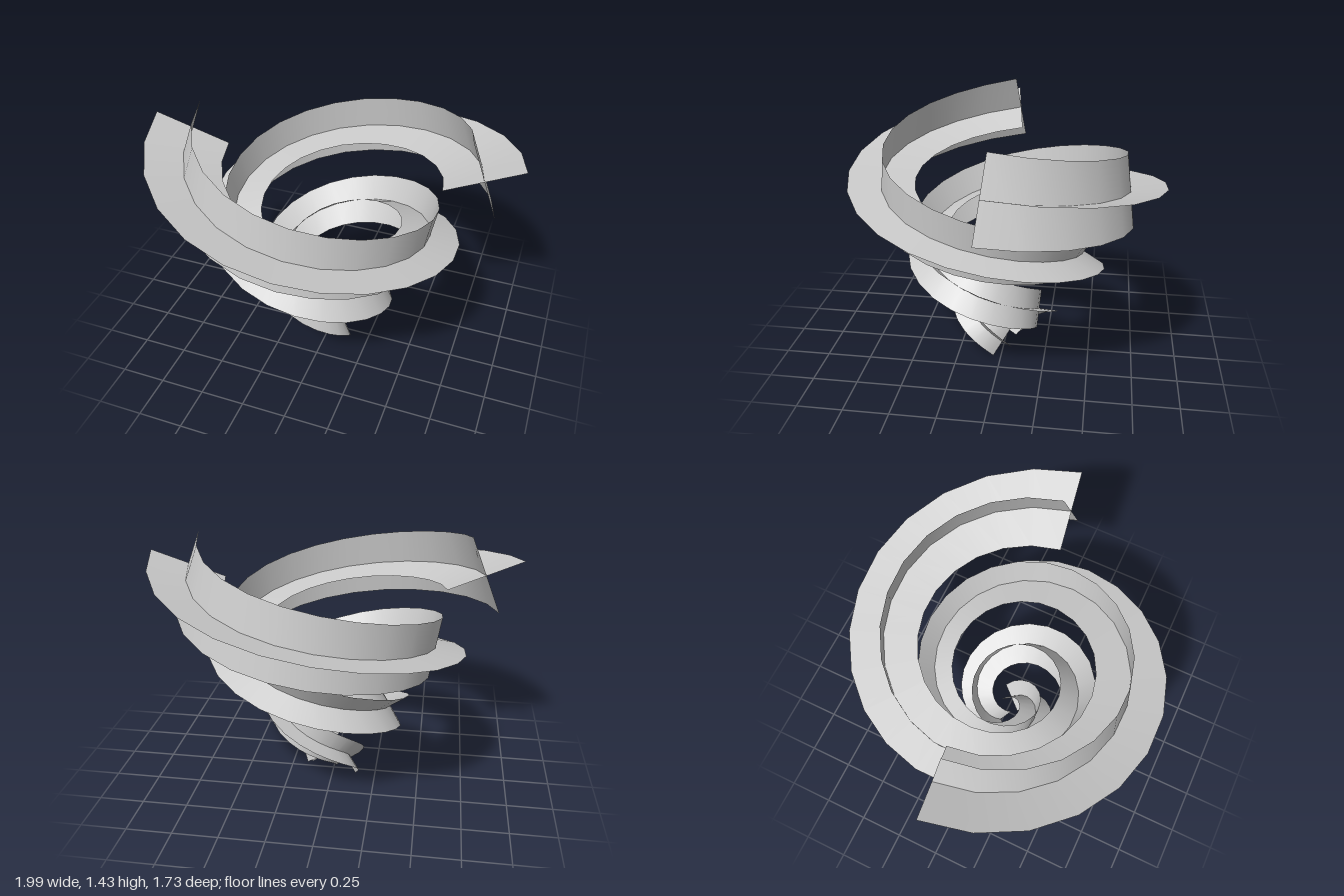
import * as THREE from 'three';

const TURNS = 1.5, SEGMENTS = 36;

// Centre line: an evenly narrowing conical spiral winding down from +x
function spiral(t) {
  const radius = THREE.MathUtils.lerp(0.8, 0.08, t);
  const a = -t * TURNS * Math.PI * 2;
  return new THREE.Vector3(radius * Math.cos(a), THREE.MathUtils.lerp(1.235, 0.06, t), radius * Math.sin(a));
}

// Half width of the ribbons, tapering towards the bottom
const halfWidth = (t) => 0.095 + 0.117 * Math.pow(1 - t, 1.4);

const tangent = (t) => spiral(t + 0.001).sub(spiral(t - 0.001)).normalize();

// Cross-section frames carried along the spiral with minimum twist
function makeFrames() {
  const frames = [];
  let dir = tangent(0);
  const lean = THREE.MathUtils.degToRad(21.4);
  const up = new THREE.Vector3(-Math.sin(lean), Math.cos(lean), 0);
  up.addScaledVector(dir, -up.dot(dir)).normalize();
  const sub = 4;
  for (let i = 0; i <= SEGMENTS * sub; i++) {
    const t = i / (SEGMENTS * sub);
    const next = tangent(t);
    up.applyQuaternion(new THREE.Quaternion().setFromUnitVectors(dir, next));
    up.addScaledVector(next, -up.dot(next)).normalize();
    dir = next;
    if (i % sub === 0) {
      frames.push({
        centre: spiral(t), half: halfWidth(t),
        up: up.clone(), side: new THREE.Vector3().crossVectors(up, dir),
      });
    }
  }
  return frames;
}

// Flat ribbon reaching half a width to both sides of the centre line
function ribbon(frames, axis) {
  const positions = [], index = [];
  frames.forEach((f, i) => {
    for (const s of [-1, 1]) {
      positions.push(...f.centre.clone().addScaledVector(f[axis], s * f.half).toArray());
    }
    if (i > 0) {
      const k = i * 2;
      index.push(k - 2, k - 1, k, k - 1, k + 1, k);
    }
  });
  const geometry = new THREE.BufferGeometry();
  geometry.setAttribute('position', new THREE.Float32BufferAttribute(positions, 3));
  geometry.setIndex(index);
  geometry.computeVertexNormals();
  return geometry;
}

export function createModel() {
  const model = new THREE.Group();
  model.name = 'doubleSpiral';
  const material = new THREE.MeshStandardMaterial({ color: 0xcccccc, side: THREE.DoubleSide });
  const frames = makeFrames();
  const upright = ribbon(frames, 'up');
  const flat = ribbon(frames, 'side');

  // Two strands half a turn apart, each made of two crossed ribbons
  for (let i = 0; i < 2; i++) {
    const strand = new THREE.Group();
    strand.name = i === 0 ? 'leftStrand' : 'rightStrand';
    strand.rotation.y = i * Math.PI;
    for (const [name, geometry] of [['uprightRibbon', upright], ['flatRibbon', flat]]) {
      const mesh = new THREE.Mesh(geometry, material);
      mesh.name = name;
      strand.add(mesh);
    }
    model.add(strand);
  }
  return model;
}
